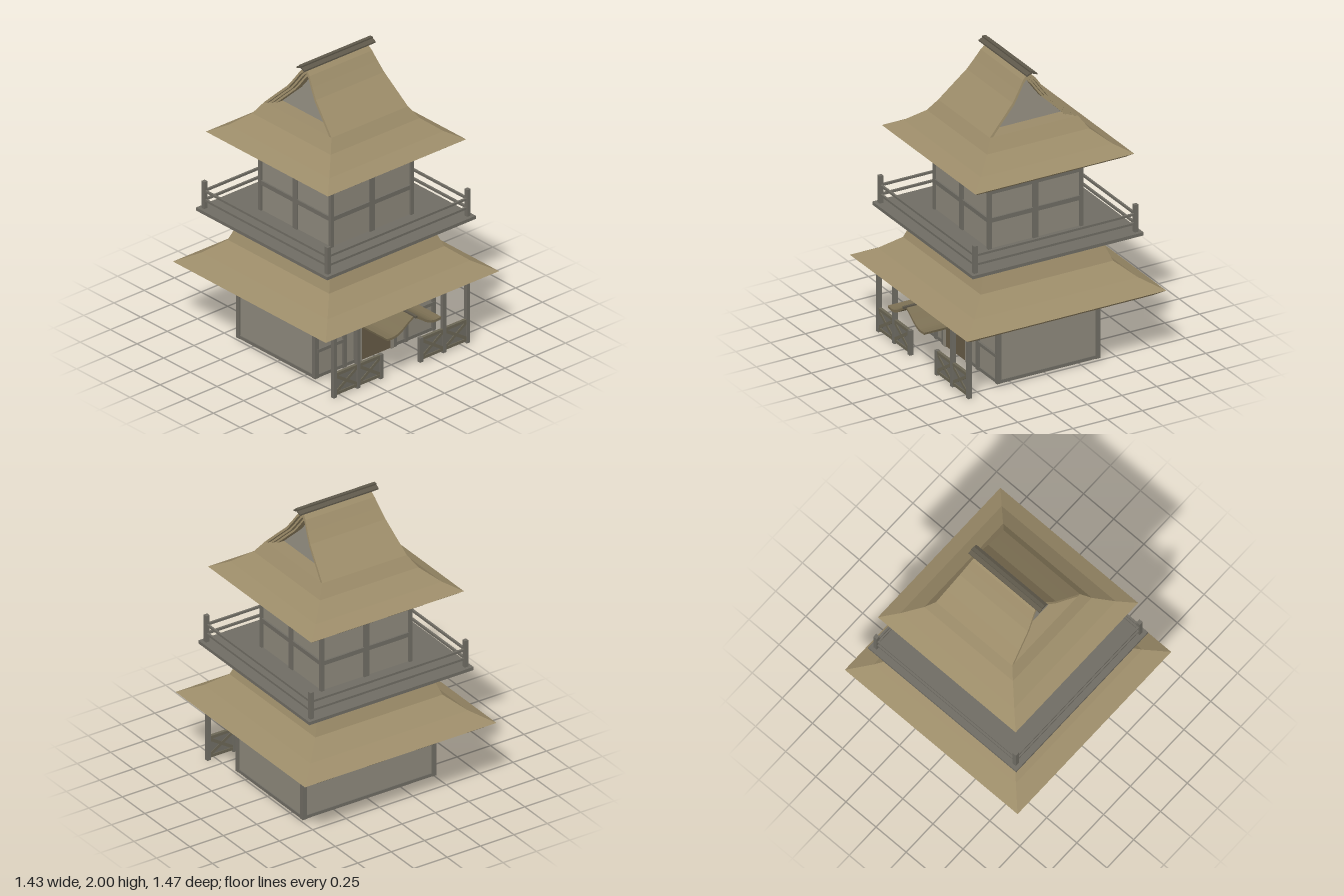
import * as THREE from 'three';

const mat = (color) => new THREE.MeshStandardMaterial({ color, flatShading: true });

export function createModel() {
  const root = new THREE.Group();
  root.name = 'pagoda';
  const wall = mat(0x8e897c), timber = mat(0x706d64), thatch = mat(0x9c8c69);
  const dark = mat(0x5f594b), doorWood = mat(0x685c47), fenceWood = mat(0x6b6655);
  const porchThatch = mat(0x7c7054);

  const add = (parent, name, geo, m) => {
    const mesh = new THREE.Mesh(geo, m);
    mesh.name = name;
    parent.add(mesh);
    return mesh;
  };
  const box = (parent, name, m, w, h, d, x, y, z) => {
    const b = add(parent, name, new THREE.BoxGeometry(w, h, d), m);
    b.position.set(x, y, z);
    return b;
  };
  // Square bar running between two points
  const bar = (parent, name, m, a, b, w, d = w) => {
    const p = new THREE.Vector3(...a), q = new THREE.Vector3(...b);
    const mesh = add(parent, name, new THREE.BoxGeometry(w, d, p.distanceTo(q)), m);
    mesh.position.copy(p).add(q).multiplyScalar(0.5);
    mesh.lookAt(q);
    return mesh;
  };
  // Stack of square sections [half width, y], closed at both ends
  const squareLoft = (sections) => {
    const ring = ([h, y]) => [[h, y, h], [h, y, -h], [-h, y, -h], [-h, y, h]];
    const pos = [];
    const quad = (a, b, c, d) => pos.push(...a, ...b, ...c, ...a, ...c, ...d);
    const rings = sections.map(ring);
    for (let s = 0; s < rings.length - 1; s++)
      for (let i = 0; i < 4; i++) {
        const j = (i + 1) % 4;
        quad(rings[s][i], rings[s][j], rings[s + 1][j], rings[s + 1][i]);
      }
    quad(...rings[rings.length - 1]);
    quad(...rings[0].slice().reverse());
    const g = new THREE.BufferGeometry();
    g.setAttribute('position', new THREE.Float32BufferAttribute(pos, 3));
    g.computeVertexNormals();
    return g;
  };
  const extrude = (pts, depth) => new THREE.ExtrudeGeometry(
    new THREE.Shape(pts.map(([x, y]) => new THREE.Vector2(x, y))), { depth, bevelEnabled: false });
  // Mirrors a half profile (centre first) into a full left-to-right line
  const mirrored = (half) => [...half.slice(1).reverse().map(([x, y]) => [-x, y]), ...half];

  const tower = new THREE.Group();
  tower.name = 'tower';
  tower.position.z = -0.018;
  root.add(tower);

  // Ground floor: box with timber frame
  box(tower, 'groundFloorWalls', wall, 0.98, 0.46, 0.72, 0, 0.245, 0);
  for (const x of [-1, 1]) {
    for (const z of [-1, 1])
      box(tower, 'cornerPost', timber, 0.03, 0.45, 0.03, x * 0.485, 0.24, z * 0.357);
    box(tower, 'sill', timber, 0.02, 0.022, 0.72, x * 0.487, 0.026, 0);
    box(tower, 'sill', timber, 0.98, 0.022, 0.02, 0, 0.026, x * 0.358);
  }

  // Lower roof, skirt and balcony deck
  add(tower, 'lowerRoof', squareLoft([[0.66, 0.445], [0.717, 0.485], [0.59, 0.555],
    [0.476, 0.65], [0.43, 0.768]]), thatch);
  add(tower, 'balconySkirt', squareLoft([[0.43, 0.765], [0.472, 0.852]]), timber);
  box(tower, 'balconyDeck', timber, 1.23, 0.022, 1.23, 0, 0.859, 0);

  // Upper floor
  box(tower, 'upperWalls', wall, 0.66, 0.45, 0.66, 0, 1.08, 0);
  add(tower, 'flaredWall', squareLoft([[0.33, 1.29], [0.36, 1.38]]), wall);
  for (let k = 0; k < 4; k++) {
    const side = new THREE.Group();
    side.name = 'upperSide';
    side.rotation.y = k * Math.PI / 2;
    tower.add(side);
    box(side, 'cornerPost', timber, 0.025, 0.42, 0.025, 0.33, 1.08, 0.33);
    bar(side, 'flaredCornerPost', timber, [0.328, 1.285, 0.328], [0.358, 1.385, 0.358], 0.026);
    box(side, 'middlePost', timber, 0.04, 0.42, 0.022, 0, 1.08, 0.331);
    bar(side, 'flaredMiddlePost', timber, [0, 1.285, 0.33], [0, 1.385, 0.361], 0.04, 0.022);
    box(side, 'upperBeam', timber, 0.67, 0.042, 0.022, 0, 1.268, 0.331);
    box(side, 'middleBeam', timber, 0.67, 0.03, 0.02, 0, 1.066, 0.331);
    // Balcony railing
    box(side, 'railingPost', timber, 0.027, 0.19, 0.027, 0.578, 0.963, 0.578);
    for (const y of [0.927, 0.99])
      box(side, 'railing', timber, 1.15, 0.015, 0.014, 0, y, 0.578);
  }

  // Upper roof: hipped base with a gabled top
  add(tower, 'upperRoof', squareLoft([[0.53, 1.375], [0.572, 1.405], [0.473, 1.458],
    [0.368, 1.545], [0.316, 1.625]]), thatch);
  const baseY = 1.625;
  const gable = [[0, 1.975], [0.045, 1.93], [0.085, 1.87], [0.132, 1.805], [0.235, 1.705], [0.316, baseY]];
  const gableLine = (s) => mirrored(gable.map(([z, y]) => [z * s, baseY + (y - baseY) * s]));
  // Extrudes along x, narrowing toward the ridge
  const gablePart = (name, pts, inset, m) => {
    const g = extrude(pts, 2).translate(0, 0, -1).rotateY(Math.PI / 2);
    const p = g.attributes.position;
    for (let i = 0; i < p.count; i++) {
      const t = (p.getY(i) - baseY) / 0.35;
      p.setX(i, p.getX(i) * (0.316 - 0.066 * t - inset));
    }
    g.computeVertexNormals();
    add(tower, name, g, m);
  };
  const shell = (a, b) => [...gableLine(a), ...gableLine(b).reverse()];
  gablePart('gableRoof', shell(1, 0.93), 0, thatch);
  gablePart('gableTrimOuter', shell(0.93, 0.87), 0.025, thatch);
  gablePart('gableTrimInner', shell(0.87, 0.81), 0.05, thatch);
  gablePart('gablePanel', gableLine(0.83), 0.1, wall);

  // Ridge cap
  const cap = extrude([[-0.037, 1.968], [0, 1.982], [0.037, 1.968], [0.037, 1.978],
    [0.012, 1.99], [0.012, 2], [-0.012, 2], [-0.012, 1.99], [-0.037, 1.978]], 0.59);
  add(tower, 'ridgeCap', cap.translate(0, 0, -0.295).rotateY(Math.PI / 2), dark);

  // Entrance: door, jambs and curved porch roof
  const front = new THREE.Group();
  front.name = 'entrance';
  root.add(front);
  const door = add(front, 'door', extrude([[-0.12, 0.02], [0.12, 0.02], [0.12, 0.35],
    [0, 0.425], [-0.12, 0.35]], 0.02), doorWood);
  door.position.z = 0.338;
  const curve = new THREE.SplineCurve([[0, 0.432], [0.05, 0.402], [0.11, 0.362], [0.165, 0.343], [0.225, 0.345]]
    .map(([x, y]) => new THREE.Vector2(x, y)));
  const half = curve.getPoints(12).map((p) => [p.x, p.y]);
  const top = mirrored(half);
  const porch = add(front, 'porchRoof',
    extrude([...top, ...top.map(([x, y]) => [x * 0.98, y - 0.016]).reverse()], 0.37), porchThatch);
  porch.position.z = 0.345;
  box(front, 'porchRidge', dark, 0.016, 0.014, 0.385, 0, 0.43, 0.545);

  for (const s of [-1, 1]) {
    // Front wall framing
    box(front, 'doorJamb', wall, 0.025, 0.35, 0.03, s * 0.133, 0.19, 0.348);
    box(front, 'doorPost', timber, 0.026, 0.43, 0.03, s * 0.158, 0.23, 0.345);
    box(front, 'windowPost', timber, 0.026, 0.43, 0.025, s * 0.255, 0.23, 0.345);
    box(front, 'windowSill', timber, 0.24, 0.022, 0.025, s * 0.365, 0.205, 0.345);
    // Porch posts and cross-braced fences
    for (const [x, h] of [[0.55, 0.46], [0.355, 0.46], [0.165, 0.17]])
      box(front, 'porchPost', timber, 0.026, h, 0.026, s * x, h / 2, 0.587);
    for (const [a, b] of [[0.55, 0.355], [0.355, 0.165]]) {
      const mid = s * (a + b) / 2, w = a - b;
      box(front, 'fencePanel', timber, w, 0.14, 0.008, mid, 0.09, 0.587);
      for (const y of [0.025, 0.158])
        box(front, 'fenceRail', fenceWood, w, 0.02, 0.02, mid, y, 0.587);
      for (const d of [-1, 1])
        bar(front, 'fenceBrace', fenceWood, [mid - w * 0.44, 0.09 - d * 0.055, 0.587],
          [mid + w * 0.44, 0.09 + d * 0.055, 0.587], 0.018, 0.02);
    }
  }
  return root;
}
